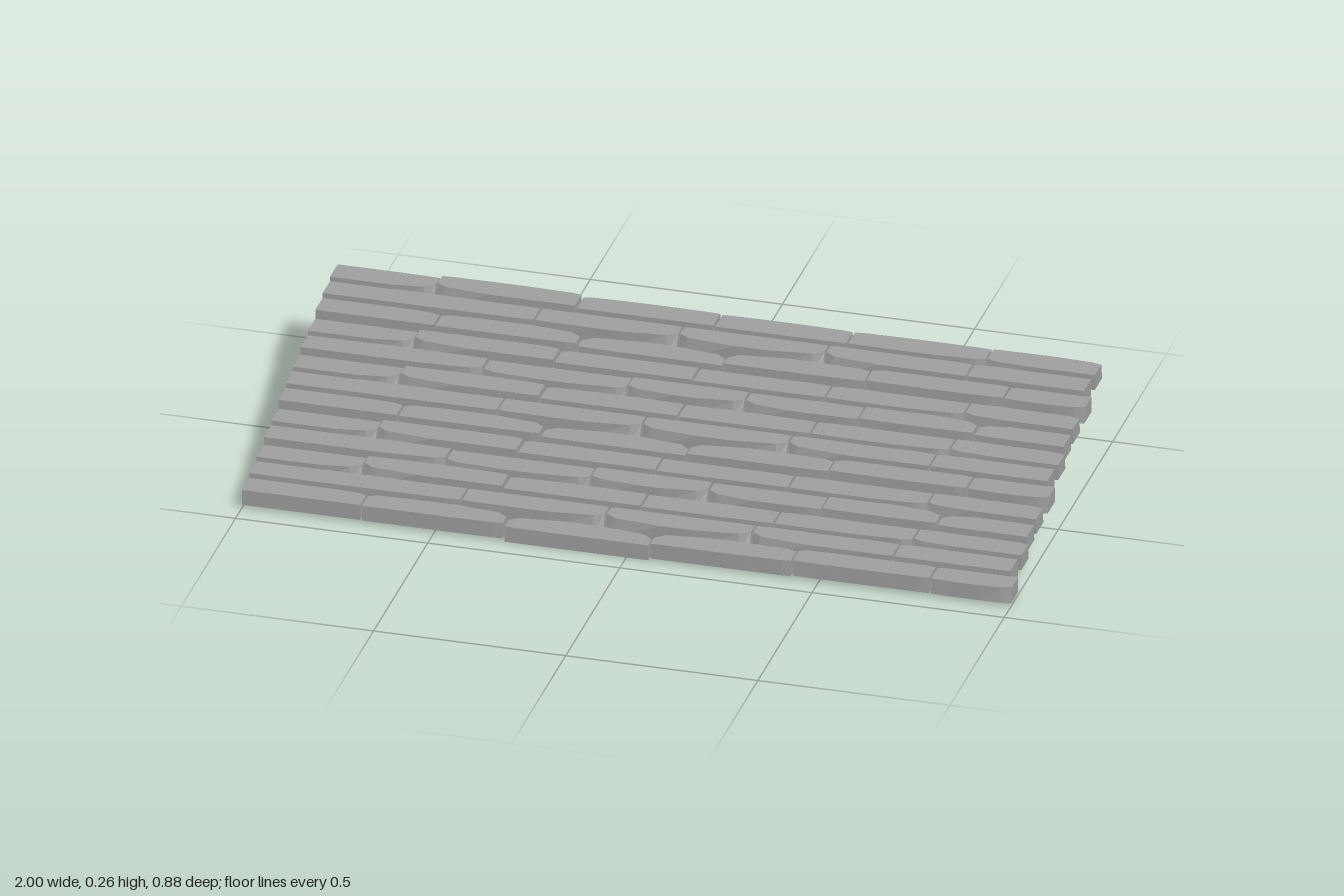
import * as THREE from 'three';

const DEPTH = 0.07, GAP = 0.003;

// Row patterns. Each joint is [x, chip on back edge, chip on front edge];
// lift gives each plank's height offset.
const A = {
  height: 0.042,
  joints: [[-1, 0, 0], [-0.69, 0.014, 0], [-0.32, 0.03, 0.004], [0.06, 0.036, 0], [0.43, 0.012, 0.004], [0.79, 0.006, 0.004], [1, 0, 0.012]],
  lift: [0.006, 0.005, -0.003, 0.003, 0.006, 0.005],
};
const B = {
  height: 0.047,
  joints: [[-1, 0, 0], [-0.45, 0, 0.003], [-0.08, 0.004, 0.03], [0.3, 0.004, 0.032], [0.675, 0.006, 0], [0.98, 0, 0]],
  lift: [0, 0, 0, 0, 0],
};
const C = {
  height: 0.042,
  joints: [[-1, 0, 0], [-0.73, 0.003, 0.028], [-0.36, 0.008, 0], [0, 0.003, 0], [0.345, 0.006, 0.003], [0.705, 0.003, 0.014], [0.99, 0.01, 0]],
  lift: [-0.002, 0.005, -0.001, -0.003, -0.003, -0.002],
};
const D = {
  height: 0.043,
  joints: [[-1, 0, 0], [-0.53, 0, 0.018], [-0.155, 0.003, 0.022], [0.15, 0.004, 0.028], [0.45, 0, 0.004], [0.75, 0.026, 0.003], [0.985, 0.004, 0]],
  lift: [0.002, -0.002, 0.002, 0, 0.003, -0.002],
};
const ROWS = [A, B, C, D, C, A, B, C, D, C, A, B, C];

// Share of the chip depth at each station from a plank's end to its middle
const FALLOFF = [1, 0.4, 0, 0];

// A plank whose long edges are notched at the corners and taper back to full width
function plankGeometry(left, right, height, isFirst, isLast) {
  const x0 = left[0] + (isFirst ? 0 : GAP);
  const x1 = right[0] - (isLast ? 0 : GAP);
  const taper = Math.min(0.16, (x1 - x0) * 0.4);
  const stations = [x0, x0 + 0.025, x0 + taper, (x0 + x1) / 2, x1 - taper, x1 - 0.025, x1];
  const geo = new THREE.BoxGeometry(6, height, DEPTH, 6, 1, 1);
  const p = geo.attributes.position;
  for (let i = 0; i < p.count; i++) {
    const s = Math.round(p.getX(i) + 3);
    const y = p.getY(i), z = p.getZ(i);
    const end = s < 3 ? left : right;
    // chips slope outward from the top face to the underside
    const depth = (z < 0 ? end[1] : end[2]) * FALLOFF[Math.min(s, 6 - s)];
    const chip = depth * (y > 0 ? 1 : 0.25);
    p.setXYZ(i, stations[s], y, z - Math.sign(z) * chip);
  }
  const flat = geo.toNonIndexed();
  flat.computeVertexNormals();
  return flat;
}

export function createModel() {
  const model = new THREE.Group();
  model.name = 'plankSlope';
  const material = new THREE.MeshStandardMaterial({ color: 0x9e9e9e, flatShading: true });

  // Stepped rows rise from the front to the back
  ROWS.forEach((pattern, r) => {
    const row = new THREE.Group();
    row.name = `plankRow${r + 1}`;
    row.position.set(0, 0.024 + r * 0.0172, 0.406 - r * 0.0677);
    const { joints, height, lift } = pattern;
    for (let i = 0; i < joints.length - 1; i++) {
      const geo = plankGeometry(joints[i], joints[i + 1], height, i === 0, i === joints.length - 2);
      const plank = new THREE.Mesh(geo, material);
      plank.name = `plank${i + 1}`;
      plank.position.y = lift[i];
      row.add(plank);
    }
    model.add(row);
  });
  return model;
}
